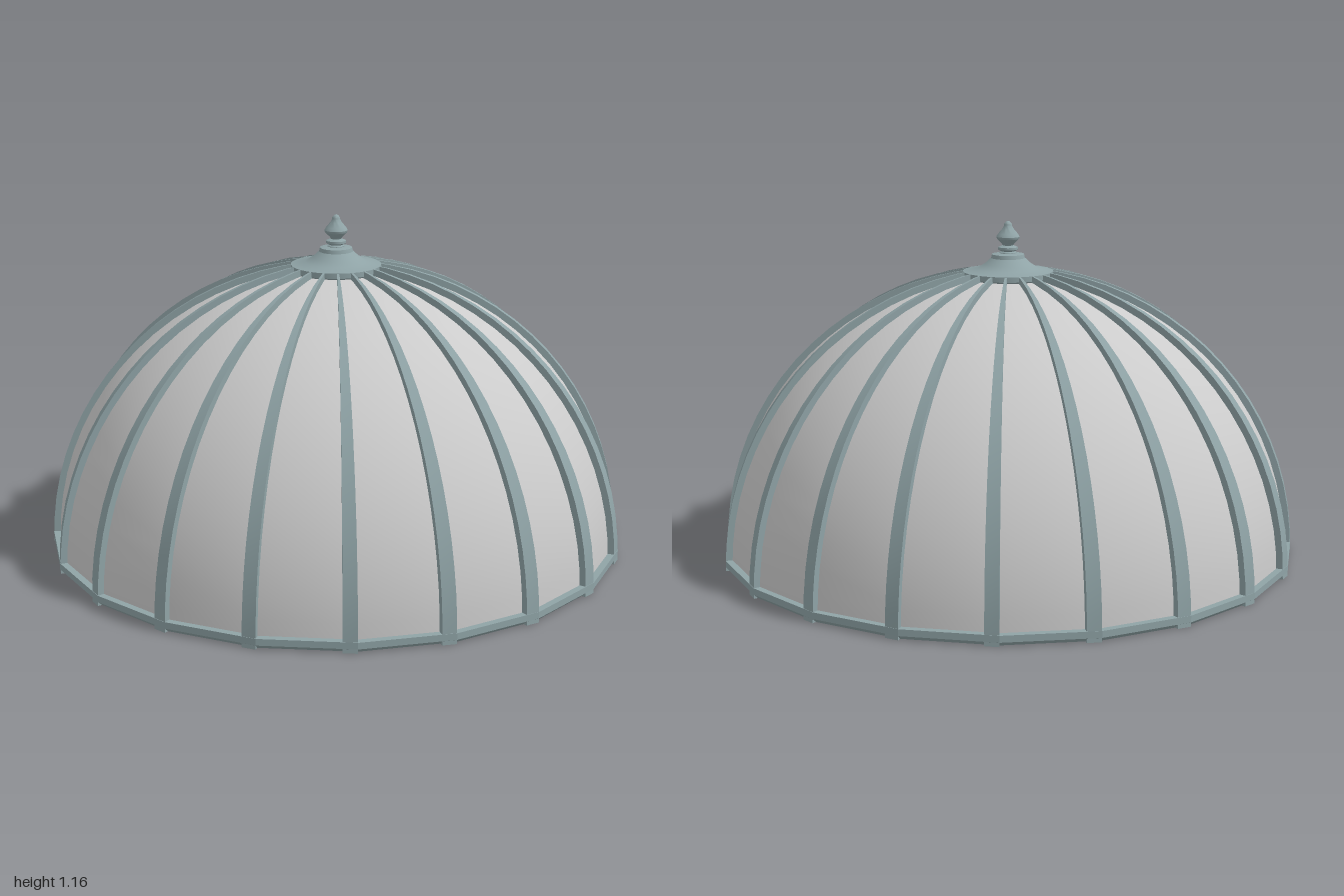
import * as THREE from 'three';
import { toCreasedNormals } from 'three/addons/utils/BufferGeometryUtils.js';

const SIDES = 20;
const STEP = (Math.PI * 2) / SIDES;
const ROWS = 18;
const MAX_ANGLE = Math.acos(0.1); // the ribs stop under the crown

const metal = new THREE.MeshStandardMaterial({ color: 0x8fa3a6, side: THREE.DoubleSide });
const shell = new THREE.MeshStandardMaterial({ color: 0xcccccc, side: THREE.DoubleSide });

const points = (list) => list.map(([r, y]) => new THREE.Vector2(r, y));

function lathe(list, sides, crease) {
  const geometry = new THREE.LatheGeometry(points(list), sides);
  return crease ? toCreasedNormals(geometry, crease) : geometry;
}

function add(parent, name, geometry, material) {
  const mesh = new THREE.Mesh(geometry, material);
  mesh.name = name;
  parent.add(mesh);
  return mesh;
}

// Curved bar that starts at a corner of the polygon and covers part of one flat side
function ribGeometry(outer, inner, share) {
  const positions = [];
  const index = [];
  const corner = [0, 1];
  const next = [-Math.sin(STEP), Math.cos(STEP)];
  const edge = corner.map((c, i) => c + (next[i] - c) * share);
  for (let i = 0; i <= ROWS; i++) {
    const a = (MAX_ANGLE * i) / ROWS;
    for (const [dir, r] of [[corner, outer], [edge, outer], [edge, inner], [corner, inner]]) {
      positions.push(dir[0] * r * Math.cos(a), r * Math.sin(a), dir[1] * r * Math.cos(a));
    }
    if (i === ROWS) break;
    for (let k = 0; k < 4; k++) {
      const p = i * 4 + k;
      const q = i * 4 + ((k + 1) % 4);
      index.push(p, p + 4, q, q, p + 4, q + 4);
    }
  }
  const top = ROWS * 4;
  index.push(0, 1, 2, 0, 2, 3, top, top + 2, top + 1, top, top + 3, top + 2);
  const geometry = new THREE.BufferGeometry();
  geometry.setAttribute('position', new THREE.Float32BufferAttribute(positions, 3));
  geometry.setIndex(index);
  return toCreasedNormals(geometry, 0.5);
}

export function createModel() {
  const model = new THREE.Group();
  model.name = 'dome';

  // Shell panels: a smooth hemisphere with twenty flat sides
  const profile = [];
  for (let i = 0; i <= ROWS; i++) {
    const a = (Math.PI / 2) * (i / ROWS);
    profile.push([0.978 * Math.cos(a), 0.978 * Math.sin(a)]);
  }
  add(model, 'panels', lathe(profile, SIDES), shell);

  // Ribs
  const ribs = new THREE.Group();
  ribs.name = 'ribs';
  const rib = ribGeometry(1, 0.972, 0.15);
  for (let i = 0; i < SIDES; i++) add(ribs, 'rib', rib, metal).rotation.y = i * STEP;
  model.add(ribs);

  // Base ring
  const ring = [[0.955, 0], [0.985, 0], [1, 0.014], [1, 0.036], [0.955, 0.036], [0.955, 0]];
  add(model, 'baseRing', lathe(ring, SIDES, 0.1), metal);

  // Crown over the rib ends
  const crown = [
    [0, 0.965], [0.15, 0.965], [0.155, 0.97], [0.155, 0.988], [0.105, 0.997],
    [0.08, 1.013], [0.058, 1.033], [0.055, 1.046], [0.035, 1.05], [0, 1.05],
  ];
  add(model, 'crown', lathe(crown, 32, 0.5), metal);

  // Finial
  const finial = [
    [0.03, 1.045], [0.03, 1.052], [0.024, 1.056], [0.034, 1.062], [0.034, 1.07], [0.018, 1.076],
    [0.022, 1.083], [0.038, 1.098], [0.04, 1.106], [0.034, 1.116], [0.02, 1.132], [0.014, 1.143],
    [0.013, 1.15], [0.007, 1.157], [0, 1.16],
  ];
  add(model, 'finial', lathe(finial, 20, 0.6), metal);

  return model;
}
